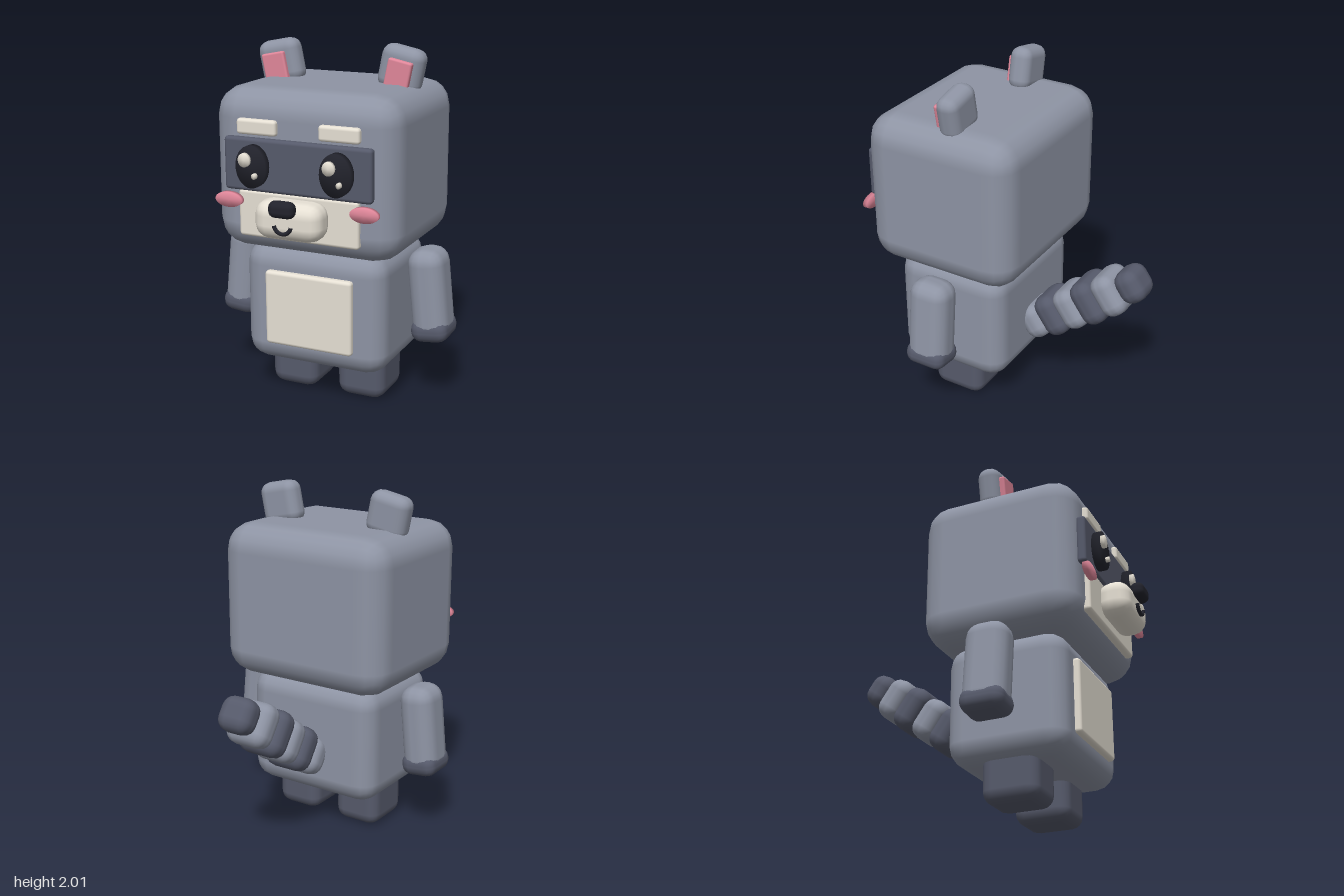
import * as THREE from 'three';
import { RoundedBoxGeometry } from 'three/addons/geometries/RoundedBoxGeometry.js';
import { mergeVertices } from 'three/addons/utils/BufferGeometryUtils.js';

const material = (name, color) => {
  const m = new THREE.MeshStandardMaterial({ color });
  m.name = name;
  return m;
};

export function createModel() {
  const grey = material('grey fur', 0x8e94a4);
  const dark = material('dark fur', 0x565a6b);
  const cream = material('cream fur', 0xe6e0d4);
  const pink = material('pink', 0xe0879a);
  const black = material('black', 0x22232c);

  const model = new THREE.Group();
  model.name = 'animal';

  const add = (name, geometry, mat, x, y, z) => {
    const mesh = new THREE.Mesh(geometry, mat);
    mesh.name = name;
    mesh.position.set(x, y, z);
    model.add(mesh);
    return mesh;
  };

  // Rounded box given by its centre, size and corner radius
  const box = (name, mat, [x, y, z], [w, h, d], r) =>
    add(name, new RoundedBoxGeometry(w, h, d, 2, r), mat, x, y, z);

  // Soft-shaded oval button facing the front
  const oval = (name, mat, [x, y, z], rx, ry, depth) => {
    let g = new THREE.CylinderGeometry(1, 1, depth, 28).rotateX(Math.PI / 2).scale(rx, ry, 1);
    g.deleteAttribute('normal');
    g.deleteAttribute('uv');
    g = mergeVertices(g);
    g.computeVertexNormals();
    return add(name, g, mat, x, y, z);
  };

  // Head and body
  box('head', grey, [0, 1.35, 0.187], [1.09, 0.9, 0.935], 0.16);
  box('body', grey, [0, 0.563, 0.19], [0.855, 0.695, 0.7], 0.12);
  box('belly', cream, [-0.002, 0.56, 0.545], [0.525, 0.43, 0.06], 0.02);

  // Face
  box('mask', dark, [0, 1.4, 0.665], [0.86, 0.29, 0.055], 0.02);
  box('muzzlePatch', cream, [0, 1.13, 0.655], [0.705, 0.26, 0.055], 0.018);
  box('snout', cream, [0, 1.145, 0.745], [0.39, 0.21, 0.19], 0.08);
  box('nose', black, [0, 1.225, 0.85], [0.147, 0.09, 0.08], 0.036);
  add('mouth', new THREE.TorusGeometry(0.05, 0.011, 8, 16, Math.PI * 0.9), black, 0, 1.143, 0.85)
    .rotation.z = Math.PI * 1.05;

  for (const s of [-1, 1]) {
    const side = s > 0 ? 'left' : 'right';

    // Eyes with highlights, brows and cheeks
    const ex = s * 0.245;
    oval(side + 'Eye', black, [ex, 1.4, 0.708], 0.09, 0.116, 0.055);
    oval(side + 'EyeHighlight', cream, [ex - 0.03, 1.438, 0.743], 0.034, 0.038, 0.025);
    oval(side + 'EyeSmallHighlight', cream, [ex + 0.028, 1.355, 0.743], 0.014, 0.016, 0.025);
    box(side + 'Brow', cream, [s * 0.24, 1.602, 0.66], [0.234, 0.085, 0.05], 0.018);
    oval(side + 'Cheek', pink, [s * 0.397, 1.203, 0.7], 0.081, 0.042, 0.026);

    // Ears
    box(side + 'Ear', grey, [s * 0.365, 1.876, 0.123], [0.25, 0.25, 0.135], 0.06)
      .rotation.z = -s * 0.2;
    box(side + 'InnerEar', pink, [s * 0.37, 1.85, 0.195], [0.14, 0.165, 0.045], 0.012)
      .rotation.z = -s * 0.2;

    // Arms and paws
    box(side + 'Arm', grey, [s * 0.58, 0.65, 0.187], [0.21, 0.52, 0.25], 0.09)
      .rotation.z = s * 0.1;
    box(side + 'Paw', dark, [s * 0.6, 0.445, 0.187], [0.215, 0.13, 0.254], 0.06)
      .rotation.z = s * 0.1;

    // Legs
    box(side + 'Leg', dark, [s * 0.21, 0.16, 0.19], [0.29, 0.32, 0.33], 0.07);
  }

  // Banded tail rising behind the body
  const widths = [0.26, 0.275, 0.27, 0.285, 0.265, 0.21];
  const heights = [0.22, 0.26, 0.255, 0.27, 0.255, 0.2];
  widths.forEach((w, i) => {
    box('tailBand' + (i + 1), i % 2 ? dark : grey,
      [0, 0.48 + i * 0.084, -0.195 - i * 0.118], [w, heights[i], 0.16], 0.07)
      .rotation.x = 0.62;
  });

  return model;
}
